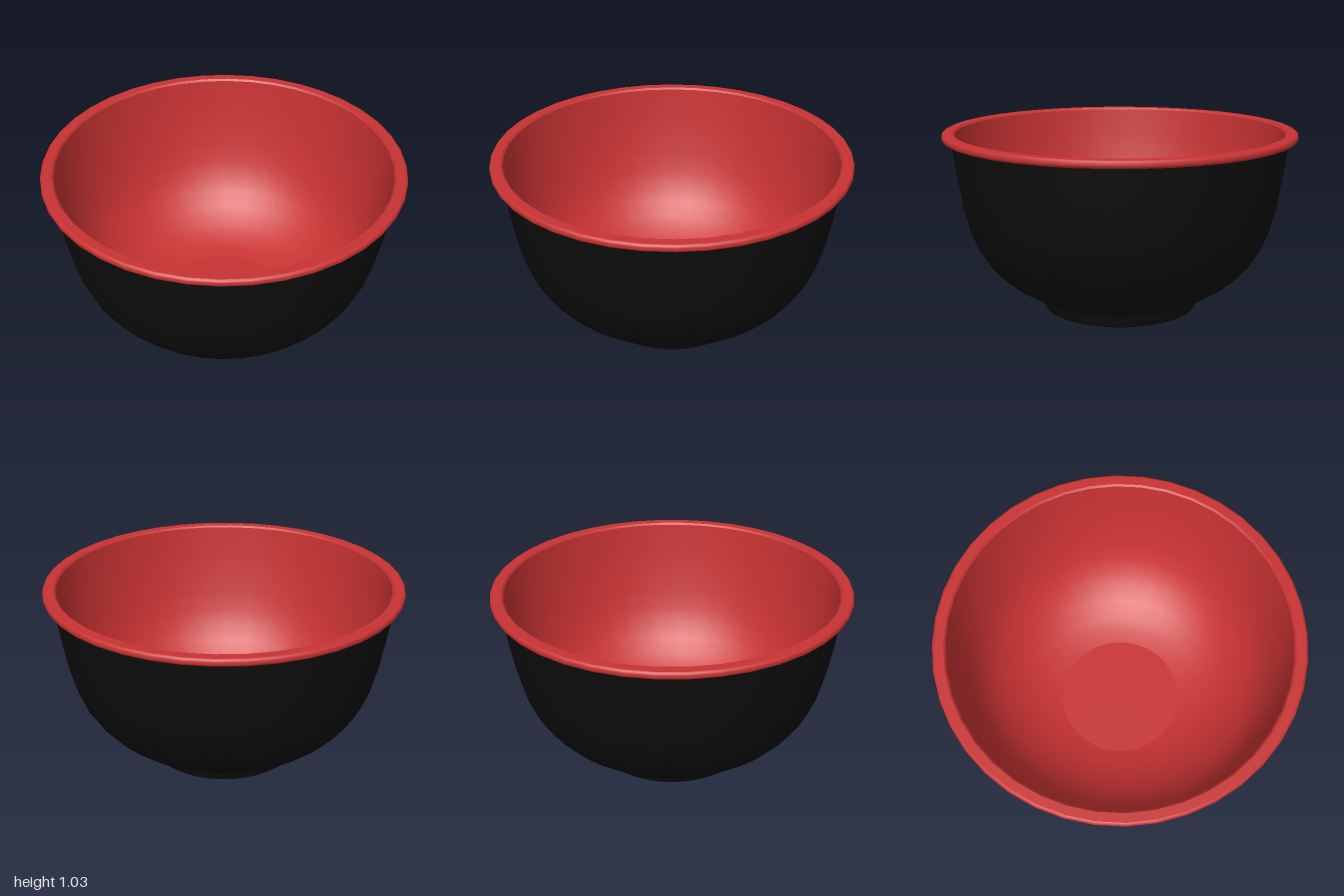
import * as THREE from 'three';

const SEGMENTS = 40;

// Revolves a profile of [radius, height, sharp?] points; sharp points are doubled to crease the normals.
function turned(name, profile, material) {
  const points = [];
  for (const [r, y, sharp] of profile) {
    points.push(new THREE.Vector2(r, y));
    if (sharp) points.push(new THREE.Vector2(r, y));
  }
  const mesh = new THREE.Mesh(new THREE.LatheGeometry(points, SEGMENTS), material);
  mesh.name = name;
  return mesh;
}

export function createModel() {
  const black = new THREE.MeshStandardMaterial({ color: 0x0d0d0d });
  black.name = 'black glaze';
  const red = new THREE.MeshStandardMaterial({ color: 0xc83232 });
  red.name = 'red glaze';

  const bowl = new THREE.Group();
  bowl.name = 'bowl';

  // Foot ring with a shallow recess underneath
  bowl.add(turned('foot', [
    [0, 0.04], [0.395, 0.04, true], [0.405, 0.005], [0.412, 0, true],
    [0.435, 0, true], [0.443, 0.01], [0.455, 0.067],
  ], black));

  // Outer wall, ending in the underside of the rim
  bowl.add(turned('outerWall', [
    [0.455, 0.067], [0.54, 0.108], [0.625, 0.16], [0.705, 0.226],
    [0.77, 0.3], [0.82, 0.38], [0.86, 0.48], [0.89, 0.6],
    [0.915, 0.74], [0.934, 0.87], [0.95, 0.995, true], [0.985, 0.99],
  ], black));

  // Rounded lip
  bowl.add(turned('rim', [
    [0.985, 0.99], [0.996, 0.996], [1, 1.005], [1, 1.018],
    [0.996, 1.027], [0.987, 1.032, true], [0.938, 1.032, true], [0.928, 1.022],
  ], red));

  // Inner wall and flat floor
  bowl.add(turned('lining', [
    [0.928, 1.022], [0.915, 0.88], [0.897, 0.75], [0.87, 0.61],
    [0.838, 0.49], [0.798, 0.39], [0.745, 0.31], [0.68, 0.238],
    [0.6, 0.175], [0.51, 0.127], [0.43, 0.1], [0.355, 0.085, true], [0, 0.085],
  ], red));

  return bowl;
}
